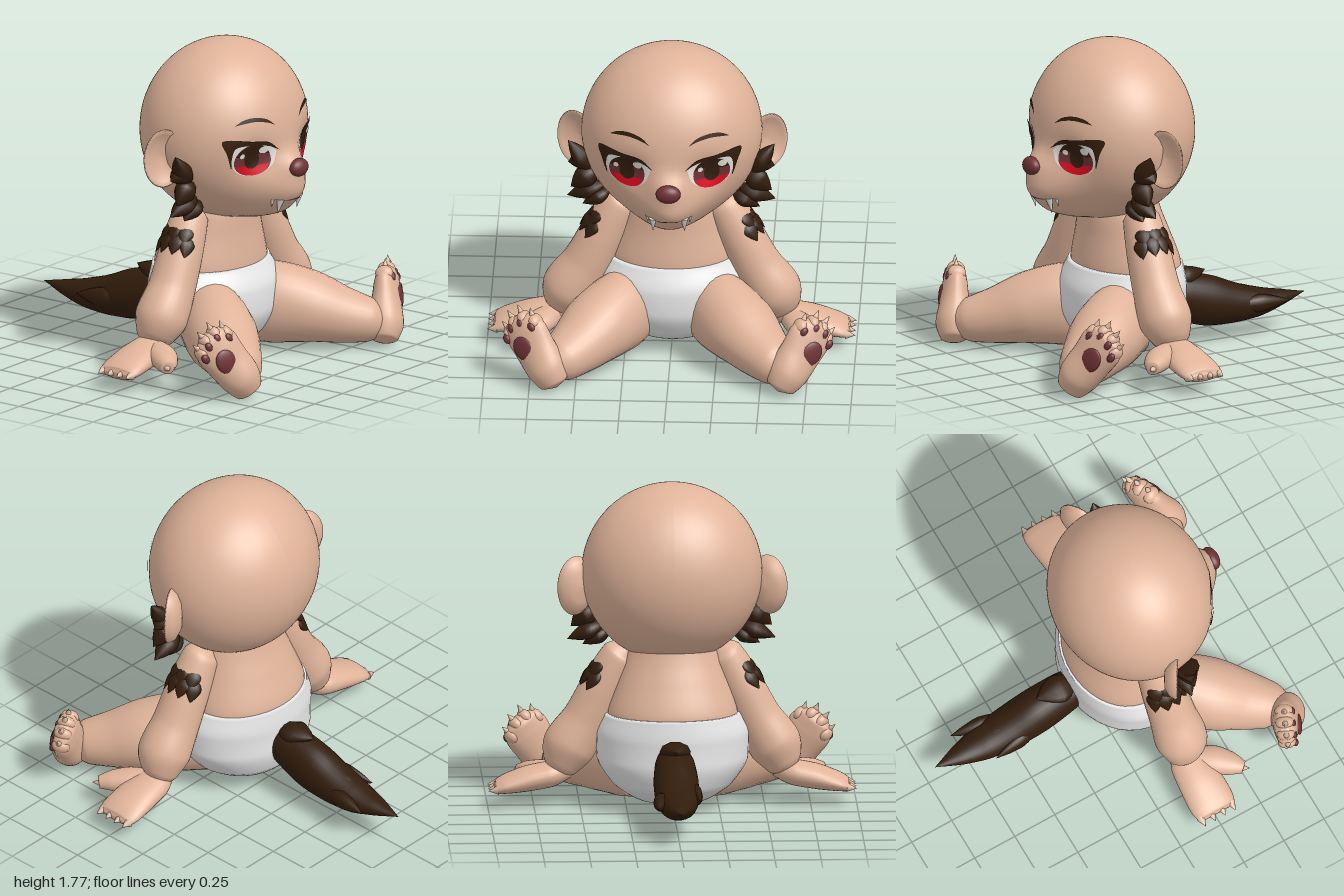
import * as THREE from 'three';

const V = (x, y, z) => new THREE.Vector3(x, y, z);
const material = (name, color) => Object.assign(new THREE.MeshStandardMaterial({ color }), { name });
const skin = material('skin', 0xdfb399);
const claw = material('claw', 0xdabba3);
const fur = material('dark fur', 0x321d0c);
const cloth = material('white cloth', 0xe8e8e8);
const white = material('eye and tooth white', 0xf0ede8);
const red = material('iris red', 0xe00a22);
const maroon = material('pad maroon', 0x6f3236);

function mesh(name, geometry, mat) {
  const m = new THREE.Mesh(geometry, mat);
  m.name = name;
  return m;
}

function indexed(pos, idx) {
  const g = new THREE.BufferGeometry();
  g.setAttribute('position', new THREE.Float32BufferAttribute(pos, 3));
  g.setIndex(idx);
  g.computeVertexNormals();
  return g;
}

// Smooth tube through sections [x, y, z, radiusU, radiusV]; U is at right angles to ref.
// With an axis given, all rings stay level to it.
function loft(sections, ref = V(0, 1, 0), sides = 28, steps = 8, axis = null) {
  const path = new THREE.CatmullRomCurve3(sections.map(s => V(s[0], s[1], s[2])));
  const radii = new THREE.CatmullRomCurve3(sections.map(s => V(s[3], s[4] ?? s[3], 0)));
  const n = (sections.length - 1) * steps, pos = [], idx = [];
  for (let i = 0; i <= n; i++) {
    const c = path.getPoint(i / n), r = radii.getPoint(i / n), t = axis ?? path.getTangent(i / n);
    const u = ref.clone().cross(t).normalize(), v = t.clone().cross(u);
    for (let j = 0; j < sides; j++) {
      const a = j / sides * Math.PI * 2;
      pos.push(...c.clone().addScaledVector(u, Math.cos(a) * Math.max(r.x, 0.0005))
        .addScaledVector(v, Math.sin(a) * Math.max(r.y, 0.0005)).toArray());
    }
  }
  const first = (n + 1) * sides, last = first + 1;
  pos.push(...path.getPoint(0).toArray(), ...path.getPoint(1).toArray());
  for (let j = 0; j < sides; j++) {
    const k = (j + 1) % sides;
    for (let i = 0; i < n; i++) {
      const a = i * sides + j, b = i * sides + k, c = b + sides, d = a + sides;
      idx.push(a, b, d, b, c, d);
    }
    idx.push(first, k, j, last, n * sides + j, n * sides + k);
  }
  return indexed(pos, idx);
}

// Pointed leaf-shaped tuft of fur
function lock(base, tip, width, thick, ref) {
  const shape = [[0, 0.1], [0.2, 0.75], [0.45, 1], [0.75, 0.6], [1, 0]];
  return mesh('furLock', loft(shape.map(([t, r]) =>
    [...base.clone().lerp(tip, t).toArray(), r * width, r * thick]), ref, 10, 3), fur);
}

function ball(name, mat, p, rx, ry, rz) {
  const g = new THREE.SphereGeometry(1, 24, 16);
  g.scale(rx, ry, rz).translate(p.x, p.y, p.z);
  return mesh(name, g, mat);
}

function spike(name, mat, p, dir, radius, length) {
  const m = mesh(name, new THREE.ConeGeometry(radius, length, 12), mat);
  const d = dir.clone().normalize();
  m.quaternion.setFromUnitVectors(V(0, 1, 0), d);
  m.position.copy(p).addScaledVector(d, length / 2);
  return m;
}

// Face surface: ellipsoid plus muzzle, chin and nose bridge, with shallow eye sockets
function relief(x, y, s) {
  const g = (v, w) => Math.exp(-((v / w) ** 2));
  return Math.min(1, Math.max(0, s) / 0.35) * (0.165 * g(x, 0.18) * g(y - 0.97, 0.16)
    + 0.06 * g(x, 0.2) * g(y - 0.85, 0.06)
    + 0.05 * g(x, 0.09) * g(y - 1.14, 0.07) - 0.04 * g(Math.abs(x) - 0.21, 0.1) * g(y - 1.2, 0.1));
}
function faceZ(x, y) {
  const s = Math.sqrt(Math.max(0, 1 - (x / 0.49) ** 2 - ((y - 1.28) / 0.49) ** 2));
  return 0.26 + 0.44 * s + relief(x, y, s);
}

// Painted detail laid on the face between an upper and a lower curve
function drape(name, mat, upper, lower, lift) {
  const [top, low] = [upper, lower].map(c => new THREE.CatmullRomCurve3(c.map(p => V(p[0], p[1], 0))));
  const pos = [], idx = [], cols = 32, rows = 10;
  for (let i = 0; i <= cols; i++) for (let j = 0; j <= rows; j++) {
    const p = top.getPoint(i / cols).lerp(low.getPoint(i / cols), j / rows);
    pos.push(p.x, p.y, faceZ(p.x, p.y) + lift);
    if (i < cols && j < rows) {
      const a = i * (rows + 1) + j, d = a + rows + 1;
      idx.push(a, a + 1, d + 1, a, d + 1, d);
    }
  }
  return mesh(name, indexed(pos, idx), mat);
}
function disc(name, mat, x, y, rx, ry, lift) {
  const arc = s => Array.from({ length: 13 }, (_, i) => {
    const a = Math.PI * (1 - i / 12);
    return [x + rx * Math.cos(a), y + s * ry * Math.sin(a)];
  });
  return drape(name, mat, arc(1), arc(-1), lift);
}

function mirrored(group) {
  const out = new THREE.Group();
  out.name = 'rightSide';
  group.updateMatrixWorld(true);
  group.traverse(o => {
    if (!o.isMesh) return;
    const g = o.geometry.clone().applyMatrix4(o.matrixWorld).scale(-1, 1, 1), a = g.index.array;
    for (let i = 0; i < a.length; i += 3) [a[i], a[i + 1]] = [a[i + 1], a[i]];
    out.add(mesh(o.name, g, o.material));
  });
  return out;
}

function buildFoot() {
  const foot = new THREE.Group();
  foot.name = 'foot';
  const up = V(0.45, 0.82, -0.3).normalize(), sole = V(0.45, 0.1, 0.9);
  sole.addScaledVector(up, -sole.dot(up)).normalize();
  foot.quaternion.setFromRotationMatrix(new THREE.Matrix4().makeBasis(up.clone().cross(sole), up, sole));
  foot.position.set(0.655, 0.12, 0.86);
  foot.add(mesh('footBody', loft([[0, -0.118, 0, 0.01, 0.01], [0, -0.095, 0, 0.08, 0.07], [0, 0, 0, 0.114, 0.1],
    [0.01, 0.12, 0, 0.122, 0.08], [0.015, 0.22, 0, 0.13, 0.068], [0.015, 0.29, 0, 0.1, 0.055], [0.015, 0.325, 0, 0.04, 0.02]],
  V(0, 0, 1)), skin));
  foot.add(ball('solePad', maroon, V(0.035, 0.15, 0.067), 0.06, 0.07, 0.018));
  [[-0.07, 0.255], [-0.015, 0.295], [0.05, 0.29], [0.105, 0.25]].forEach(([x, y]) => {
    foot.add(ball('toe', skin, V(x, y, 0), 0.036, 0.045, 0.05));
    foot.add(ball('toePad', maroon, V(x + 0.012, y - 0.017, 0.045), 0.021, 0.028, 0.016));
    foot.add(spike('toeClaw', claw, V(x, y + 0.03, 0.005), V(x, 0.3, 0), 0.02, 0.055));
  });
  return foot;
}

function buildSide() {
  const side = new THREE.Group();
  side.name = 'leftSide';
  // Arm, hand, thumb and claws
  side.add(mesh('arm', loft([[0.24, 0.88, 0.23, 0.03], [0.28, 0.83, 0.24, 0.1], [0.38, 0.64, 0.25, 0.122], [0.465, 0.47, 0.255, 0.13],
    [0.555, 0.33, 0.255, 0.145], [0.61, 0.22, 0.245, 0.1], [0.64, 0.17, 0.245, 0.04]], V(0, 0, 1)), skin));
  side.add(mesh('hand', loft([[0.56, 0.2, 0.245, 0.06, 0.05], [0.66, 0.17, 0.245, 0.105, 0.07], [0.78, 0.145, 0.25, 0.122, 0.068],
    [0.9, 0.115, 0.25, 0.126, 0.05], [0.95, 0.1, 0.25, 0.112, 0.035], [0.965, 0.098, 0.25, 0.08, 0.01]]), skin));
  side.add(mesh('thumb', loft([[0.64, 0.165, 0.27, 0.06], [0.705, 0.16, 0.37, 0.08, 0.062], [0.77, 0.15, 0.445, 0.065, 0.052],
    [0.82, 0.14, 0.495, 0.035]]), skin));
  side.add(spike('thumbClaw', claw, V(0.82, 0.14, 0.49), V(0.6, -0.1, 1), 0.018, 0.04));
  for (let i = 0; i < 4; i++)
    side.add(spike('fingerClaw', claw, V(0.945, 0.1, 0.157 + i * 0.062), V(1, -0.1, 0), 0.026, 0.054));
  // Shoulder fur in two overlapping rows
  for (const [row, x, y, count] of [[0, 0.335, 0.73, 4], [1, 0.295, 0.775, 3]]) for (let i = 0; i < count; i++) {
    const a = (i - (count - 1) / 2) * 0.55;
    const out = V(0.88 * Math.cos(a), 0.46 * Math.cos(a), Math.sin(a));
    side.add(lock(V(x, y, 0.245).addScaledVector(out, 0.1), V(x + 0.055, y - 0.12, 0.245)
      .addScaledVector(out, 0.133 + row * 0.01), 0.044, 0.018, out));
  }
  // Leg and foot
  side.add(mesh('leg', loft([[0.18, 0.245, 0.25, 0.15, 0.21], [0.27, 0.245, 0.39, 0.185, 0.226], [0.385, 0.218, 0.535, 0.198, 0.2],
    [0.495, 0.17, 0.685, 0.165, 0.155], [0.59, 0.14, 0.805, 0.126, 0.12], [0.65, 0.13, 0.86, 0.07]]), skin));
  side.add(buildFoot());
  // Cupped ear
  const ear = mesh('ear', new THREE.LatheGeometry([[0, -0.06], [0.06, -0.055], [0.1, -0.03], [0.118, 0.005], [0.112, 0.016],
    [0.095, 0], [0.05, -0.025], [0, -0.03]].map(p => new THREE.Vector2(...p)), 36), skin);
  ear.geometry.rotateX(Math.PI / 2).scale(1, 1.38, 1).rotateY(0.55);
  ear.position.set(0.52, 1.21, 0.24);
  side.add(ear);
  // Cheek fur
  [[0.43, 1.06, 0.56, 1.245, 0.05], [0.44, 1.14, 0.56, 1.1, 0.05], [0.4, 1.08, 0.545, 0.965, 0.065],
    [0.36, 0.98, 0.565, 0.9, 0.05], [0.33, 0.95, 0.48, 0.865, 0.045]].forEach(([x, y, tx, ty, w], i) =>
    side.add(lock(V(x, y, 0.34), V(tx, ty, 0.35 - (i % 2) * 0.03), w, 0.06, V(0, 0, 1))));
  // Eye and brow
  side.add(drape('eyeWhite', white, [[0.1, 1.235], [0.14, 1.272], [0.24, 1.29], [0.32, 1.285], [0.352, 1.22]],
    [[0.1, 1.235], [0.132, 1.16], [0.22, 1.111], [0.305, 1.135], [0.352, 1.22]], 0.003));
  side.add(disc('iris', maroon, 0.23, 1.2, 0.098, 0.088, 0.0045));
  side.add(drape('irisGlow', red, [[0.138, 1.175], [0.182, 1.168], [0.23, 1.163], [0.28, 1.168], [0.322, 1.175]],
    [[0.138, 1.175], [0.17, 1.132], [0.23, 1.112], [0.29, 1.132], [0.322, 1.175]], 0.006));
  side.add(drape('irisShade', fur, [[0.136, 1.225], [0.166, 1.266], [0.23, 1.287], [0.295, 1.266], [0.324, 1.225]],
    [[0.136, 1.225], [0.178, 1.23], [0.23, 1.225], [0.285, 1.22], [0.324, 1.225]], 0.0065));
  side.add(disc('pupil', fur, 0.23, 1.2, 0.042, 0.05, 0.0075));
  side.add(drape('lash', fur, [[0.088, 1.24], [0.15, 1.292], [0.24, 1.308], [0.385, 1.322], [0.365, 1.24], [0.342, 1.165]],
    [[0.088, 1.24], [0.145, 1.268], [0.235, 1.284], [0.33, 1.278], [0.344, 1.225], [0.338, 1.165]], 0.009));
  side.add(drape('brow', fur, [[0.105, 1.38], [0.15, 1.418], [0.22, 1.436], [0.28, 1.428], [0.325, 1.402]],
    [[0.105, 1.38], [0.15, 1.4], [0.22, 1.414], [0.28, 1.41], [0.325, 1.402]], 0.005));
  // Fangs
  side.add(spike('fang', white, V(0.085, 0.96, faceZ(0.085, 0.95) - 0.004), V(0, -1, -0.2), 0.022, 0.09));
  side.add(spike('smallFang', white, V(0.115, 0.96, faceZ(0.115, 0.95) - 0.004), V(0, -1, -0.2), 0.012, 0.045));
  return side;
}

export function createModel() {
  const model = new THREE.Group();
  model.name = 'sittingCub';

  // Head
  const g = new THREE.SphereGeometry(1, 72, 56).rotateY(-Math.PI / 2), p = g.attributes.position;
  for (let i = 0; i < p.count; i++) {
    const x = p.getX(i) * 0.49, y = 1.28 + p.getY(i) * 0.49, s = p.getZ(i);
    p.setXYZ(i, x, y, 0.26 + 0.44 * s + relief(x, y, s));
  }
  g.computeVertexNormals();
  model.add(mesh('head', g, skin));
  model.add(ball('nose', maroon, V(0, 1.13, 0.765), 0.068, 0.051, 0.043));
  const lip = [[-0.13, 0.965], [-0.06, 0.955], [0, 0.963], [0.06, 0.955], [0.13, 0.965]];
  model.add(drape('mouth', maroon, lip, lip.map(([x, y]) => [x, y - 0.009 * (1 - Math.abs(x) / 0.14)]), 0.003));
  for (const x of [-0.23, 0.23]) {
    model.add(disc('eyeHighlight', white, x + 0.058, 1.25, 0.024, 0.02, 0.0095));
    model.add(disc('eyeGlint', white, x - 0.06, 1.228, 0.014, 0.014, 0.0095));
  }

  // Torso and diaper
  const up = V(0, 1, 0), front = V(0, 0, 1);
  model.add(mesh('torso', loft([[0, 0.45, 0.17, 0.36, 0.28], [0, 0.54, 0.17, 0.352, 0.276], [0, 0.7, 0.19, 0.298, 0.24],
    [0, 0.82, 0.21, 0.255, 0.215], [0, 0.93, 0.215, 0.21, 0.19]], front, 40, 8, up), skin));
  model.add(mesh('diaper', loft([[0, 0.03, 0.16, 0.02, 0.02], [0, 0.05, 0.165, 0.19, 0.17], [0, 0.13, 0.175, 0.32, 0.275],
    [0, 0.27, 0.19, 0.41, 0.325], [0, 0.4, 0.19, 0.415, 0.322], [0, 0.525, 0.17, 0.367, 0.288]], front, 40, 8, up), cloth));

  // Tail
  model.add(mesh('tail', loft([[0, 0.3, -0.06, 0.09, 0.1], [0, 0.28, -0.15, 0.11, 0.125], [0, 0.23, -0.32, 0.122, 0.14],
    [0, 0.19, -0.5, 0.118, 0.112], [0, 0.175, -0.66, 0.1, 0.08], [0, 0.18, -0.81, 0.06, 0.042], [0, 0.19, -0.96, 0, 0]]), fur));
  model.add(lock(V(0, 0.36, -0.08), V(0, 0.4, -0.33), 0.085, 0.055, up));
  model.add(lock(V(0.07, 0.19, -0.48), V(0.115, 0.19, -0.8), 0.045, 0.05, up));
  model.add(lock(V(-0.07, 0.2, -0.34), V(-0.125, 0.2, -0.65), 0.04, 0.06, up));
  model.add(lock(V(0, 0.26, -0.38), V(0, 0.25, -0.66), 0.07, 0.04, up));

  // Limbs, ears, fur and eyes on both sides
  const left = buildSide();
  model.add(left, mirrored(left));
  return model;
}
